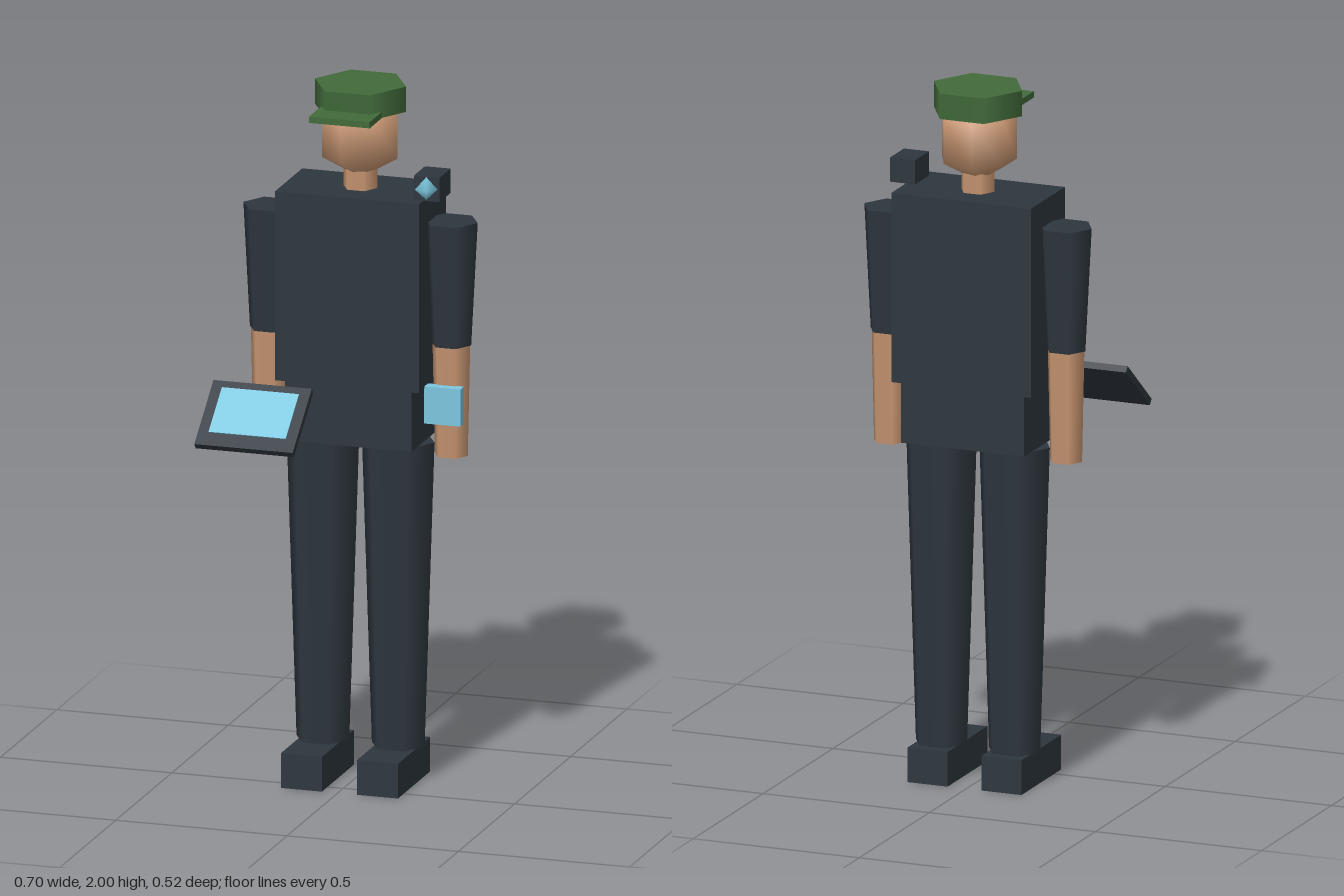
import * as THREE from 'three';

const material = (name, color) => {
  const m = new THREE.MeshStandardMaterial({ color });
  m.name = name;
  return m;
};

export function createModel() {
  const model = new THREE.Group();
  model.name = 'uniformedFigure';
  const uniform = material('dark uniform', 0x2e363e);
  const skin = material('skin', 0xc69470);
  const green = material('cap green', 0x416a3a);
  const cyan = material('screen cyan', 0x7cc6de);

  const add = (parent, name, geometry, mat, x, y, z) => {
    const mesh = new THREE.Mesh(geometry, mat);
    mesh.name = name;
    mesh.position.set(x, y, z);
    parent.add(mesh);
    return mesh;
  };
  const box = (w, h, d) => new THREE.BoxGeometry(w, h, d);
  // six-sided tapered column with corners on the x axis
  const hex = (top, bottom, h) => new THREE.CylinderGeometry(top, bottom, h, 6, 1, false, Math.PI / 6);

  // everything worn or carried on the body is relative to the body axis
  const body = new THREE.Group();
  body.name = 'body';
  body.position.set(0.005, 0, -0.139);
  model.add(body);

  add(body, 'torso', box(0.42, 0.545, 0.243), uniform, 0, 1.4275, 0);
  add(body, 'hips', box(0.37, 0.175, 0.22), uniform, 0, 1.0675, 0);

  // legs, shoes and arms, mirrored
  for (const [side, s] of [['left', 1], ['right', -1]]) {
    add(body, side + 'Leg', hex(0.106, 0.077, 0.88), uniform, s * 0.11, 0.54, 0);
    add(body, side + 'Shoe', box(0.12, 0.1, 0.285), uniform, s * 0.111, 0.05, 0.046);
    add(body, side + 'Sleeve', hex(0.077, 0.058, 0.355), uniform, s * 0.265, 1.4475, 0);
    add(body, side + 'Forearm', hex(0.055, 0.048, 0.32), skin, s * 0.265, 1.11, 0);
  }

  // head and neck
  add(body, 'neck', hex(0.05, 0.05, 0.1), skin, 0, 1.74, 0);
  add(body, 'head', new THREE.SphereGeometry(0.125, 7, 3), skin, 0, 1.852, 0).rotation.y = Math.PI;

  // cap with a flat peak
  add(body, 'capCrown', hex(0.133, 0.133, 0.073), green, 0, 1.9635, 0);
  add(body, 'capPeak', box(0.177, 0.018, 0.11), green, 0, 1.936, 0.134);

  // shoulder camera
  add(body, 'shoulderCamera', box(0.075, 0.07, 0.099), uniform, 0.22, 1.735, 0.033);
  add(body, 'cameraLens', new THREE.SphereGeometry(0.033, 5, 2), cyan, 0.22, 1.737, 0.086).rotation.y = Math.PI;

  // wrist display
  add(body, 'wristDisplay', box(0.106, 0.107, 0.033), cyan, 0.262, 1.108, 0.0565);

  // tilted tablet floating before the right hand
  const tablet = new THREE.Group();
  tablet.name = 'tablet';
  tablet.position.set(-0.206, 1.095, 0.168);
  tablet.rotation.x = THREE.MathUtils.degToRad(39);
  model.add(tablet);
  add(tablet, 'tabletCase', box(0.287, 0.02, 0.22), uniform, 0, 0, 0);
  add(tablet, 'tabletScreen', box(0.225, 0.004, 0.153), cyan, 0, 0.011, -0.01);

  return model;
}
